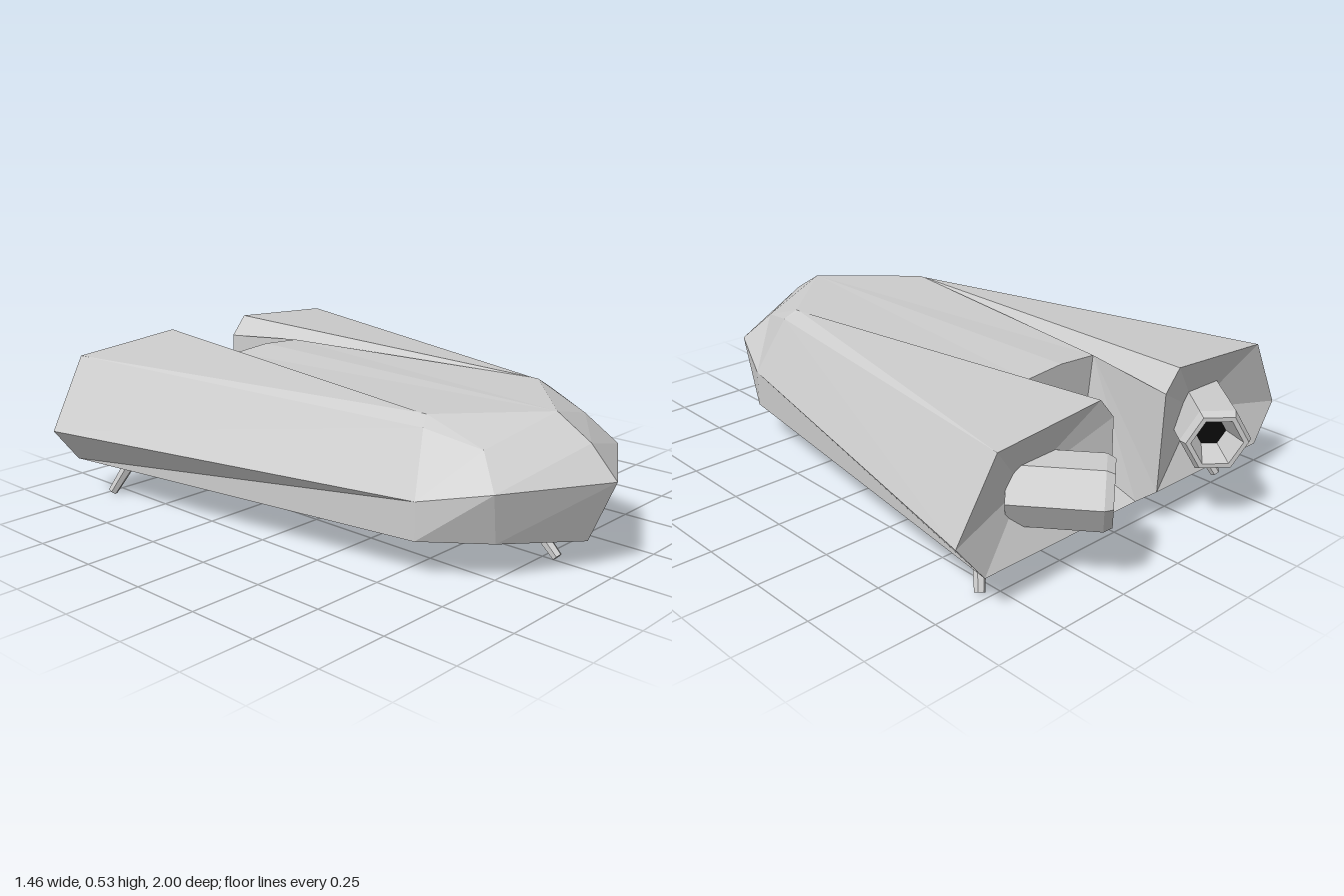
import * as THREE from 'three';

const grey = new THREE.MeshStandardMaterial({ color: 0xcccccc, flatShading: true });
const dark = new THREE.MeshStandardMaterial({ color: 0x0a0a0a, flatShading: true });

// Mirrored flat-faced mesh from polygons given for the left (+x) half
function mirroredMesh(name, polygons) {
  const pos = [];
  for (const poly of polygons) {
    for (let i = 1; i < poly.length - 1; i++) {
      const [a, b, c] = [poly[0], poly[i], poly[i + 1]];
      pos.push(...a, ...b, ...c);
      for (const [x, y, z] of [a, c, b]) pos.push(-x, y, z);
    }
  }
  const geo = new THREE.BufferGeometry();
  geo.setAttribute('position', new THREE.Float32BufferAttribute(pos, 3));
  geo.computeVertexNormals();
  const mesh = new THREE.Mesh(geo, grey);
  mesh.name = name;
  return mesh;
}

// Quads between an upper and a lower rail, both running front to back
const strip = (a, b) => a.slice(1).map((_, i) => [a[i], b[i], b[i + 1], a[i + 1]]);

// Tapered strut between two points
function strut(name, top, foot) {
  const a = new THREE.Vector3(...top), b = new THREE.Vector3(...foot);
  const dir = a.clone().sub(b);
  const geo = new THREE.CylinderGeometry(0.022, 0.017, dir.length(), 6);
  const mesh = new THREE.Mesh(geo, grey);
  mesh.position.copy(a).add(b).multiplyScalar(0.5);
  mesh.quaternion.setFromUnitVectors(new THREE.Vector3(0, 1, 0), dir.normalize());
  mesh.name = name;
  return mesh;
}

// Hexagonal nozzle with a tapered bore, angled towards the centre line
function engine(side) {
  const group = new THREE.Group();
  group.name = side > 0 ? 'leftEngine' : 'rightEngine';
  const profile = [[0.112, -0.3], [0.112, -0.025], [0.098, 0], [0.082, 0], [0.05, -0.09]]
    .map(([r, y]) => new THREE.Vector2(r, y));
  const orient = (g) => g.rotateY(Math.PI / 6).rotateX(-Math.PI / 2);
  const nozzle = new THREE.Mesh(orient(new THREE.LatheGeometry(profile, 6)), grey);
  nozzle.name = 'nozzle';
  const bore = new THREE.Mesh(
    orient(new THREE.CylinderGeometry(0.05, 0.05, 0.01, 6).translate(0, -0.094, 0)), dark);
  bore.name = 'bore';
  group.add(nozzle, bore);
  group.position.set(0.24 * side, 0.295, -0.937);
  group.rotation.y = 0.69 * side;
  return group;
}

export function createModel() {
  const model = new THREE.Group();
  model.name = 'spacecraft';

  // Hull rails, nose to tail, from the top down
  const crown = [[0, 0.475, 0.78], [0.29, 0.475, 0.51], [0.29, 0.475, 0.49], [0.18, 0.525, -0.82]];
  const upper = [[0, 0.40, 0.905], [0.27, 0.40, 0.71], [0.33, 0.445, 0.53], [0.59, 0.495, -0.82]];
  const chine = [[0, 0.30, 1], [0.335, 0.30, 0.8], [0.425, 0.25, 0.58], [0.73, 0.25, -0.81]];
  const lower = [[0, 0.09, 0.91], [0.28, 0.125, 0.77], [0.425, 0.125, 0.58], [0.63, 0.125, -0.82]];
  const keel = [[0, 0.09, 0.91], [0.28, 0.05, 0.2], [0.28, 0.05, 0.2], [0.11, 0.06, -0.74]];

  // Notch corners
  const ridgeEnd = [0, 0.49, -0.5], groove = [0.15, 0.48, -0.5];
  const wallTop = [0.12, 0.455, -0.82], wallFoot = [0.11, 0.125, -0.82];
  const rampTop = [0.11, 0.13, -0.5], rampMid = [0, 0.13, -0.5], rampEnd = [0, 0.06, -0.74];

  model.add(mirroredMesh('hullSides', [
    ...strip(crown, upper), ...strip(upper, chine), ...strip(chine, lower)]));
  model.add(mirroredMesh('deck', [
    [crown[0], crown[1], crown[2], groove, ridgeEnd],
    [crown[2], crown[3], wallTop, groove]]));
  model.add(mirroredMesh('underside', [
    ...strip(lower, keel),
    [keel[1], keel[0], rampEnd, keel[3]],
    [lower[3], keel[3], wallFoot]]));
  model.add(mirroredMesh('rearNotch', [
    [groove, wallTop, wallFoot, keel[3], rampTop],
    [ridgeEnd, groove, rampTop, rampMid],
    [rampMid, rampTop, keel[3], rampEnd]]));

  // Recessed rear faces converging on the engines
  const rim = [crown[3], upper[3], chine[3], lower[3], wallFoot, wallTop];
  const well = [0.4, 0.295, -0.73];
  model.add(mirroredMesh('rearRecesses',
    rim.map((p, i) => [p, rim[(i + 1) % rim.length], well])));

  // Engines and landing legs
  for (const s of [1, -1]) {
    model.add(engine(s));
    model.add(strut(s > 0 ? 'leftRearLeg' : 'rightRearLeg',
      [0.505 * s, 0.13, -0.665], [0.558 * s, 0.004, -0.725]));
  }
  model.add(strut('frontLeg', [0, 0.11, 0.7], [0, 0.008, 0.805]));
  return model;
}
